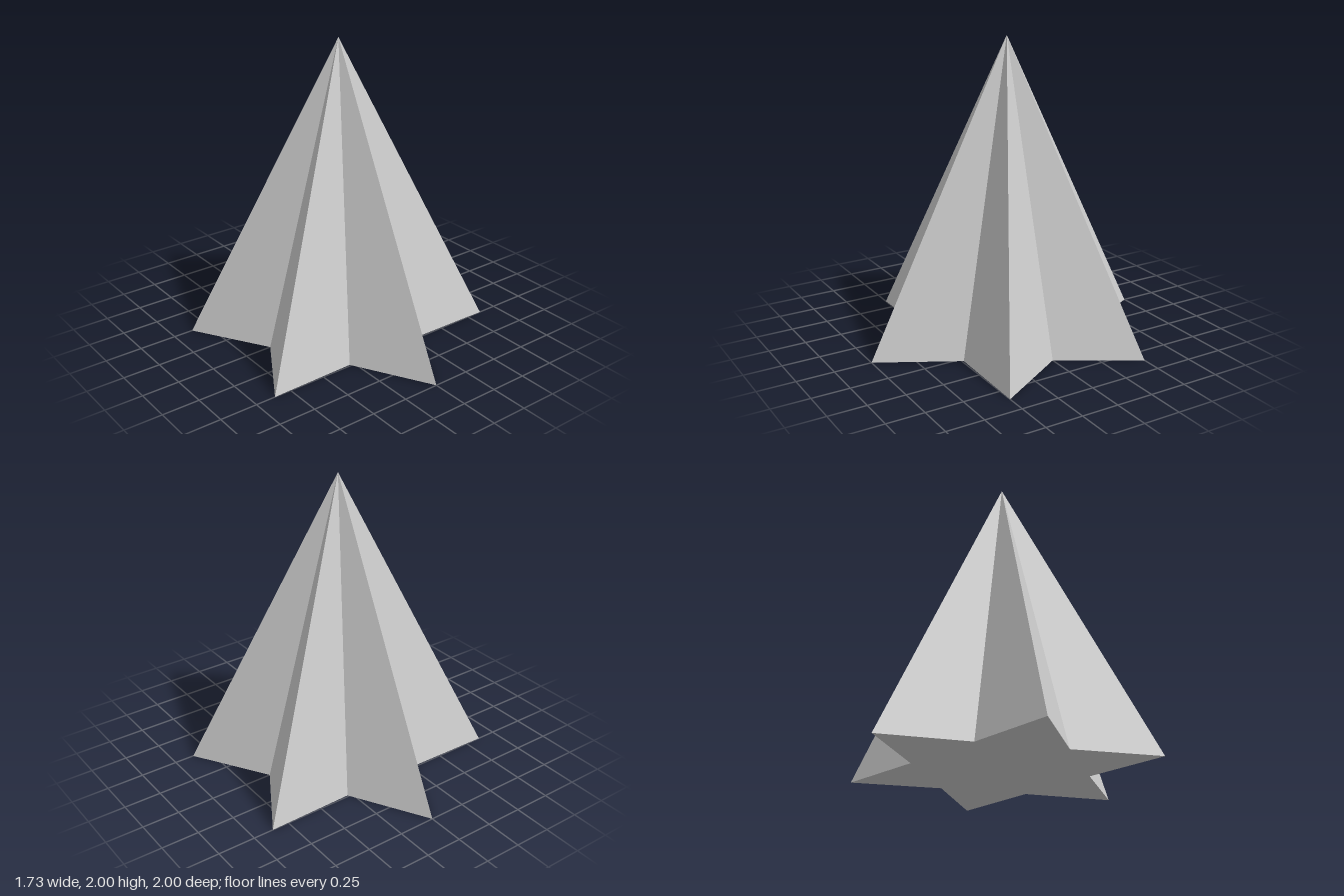
import * as THREE from 'three';

const POINTS = 6;
const OUTER_RADIUS = 1;
const INNER_RADIUS = 0.565;
const HEIGHT = 2;

// Cone whose every second base corner is pulled in to make a star
function starPyramidGeometry() {
  const sides = POINTS * 2;
  const geometry = new THREE.ConeGeometry(OUTER_RADIUS, HEIGHT, sides, 1).toNonIndexed();
  const position = geometry.attributes.position;
  for (let i = 0; i < position.count; i++) {
    const x = position.getX(i), z = position.getZ(i);
    if (Math.hypot(x, z) < 0.5) continue; // apex and base centre
    const corner = Math.round((Math.atan2(x, z) / (Math.PI * 2)) * sides);
    if (corner % 2 !== 0) {
      position.setX(i, x * INNER_RADIUS / OUTER_RADIUS);
      position.setZ(i, z * INNER_RADIUS / OUTER_RADIUS);
    }
  }
  geometry.translate(0, HEIGHT / 2, 0);
  geometry.computeVertexNormals();
  return geometry;
}

export function createModel() {
  const group = new THREE.Group();
  group.name = 'starPyramid';
  const material = new THREE.MeshStandardMaterial({ color: 0xcccccc, flatShading: true });
  const body = new THREE.Mesh(starPyramidGeometry(), material);
  body.name = 'pyramidBody';
  group.add(body);
  return group;
}
